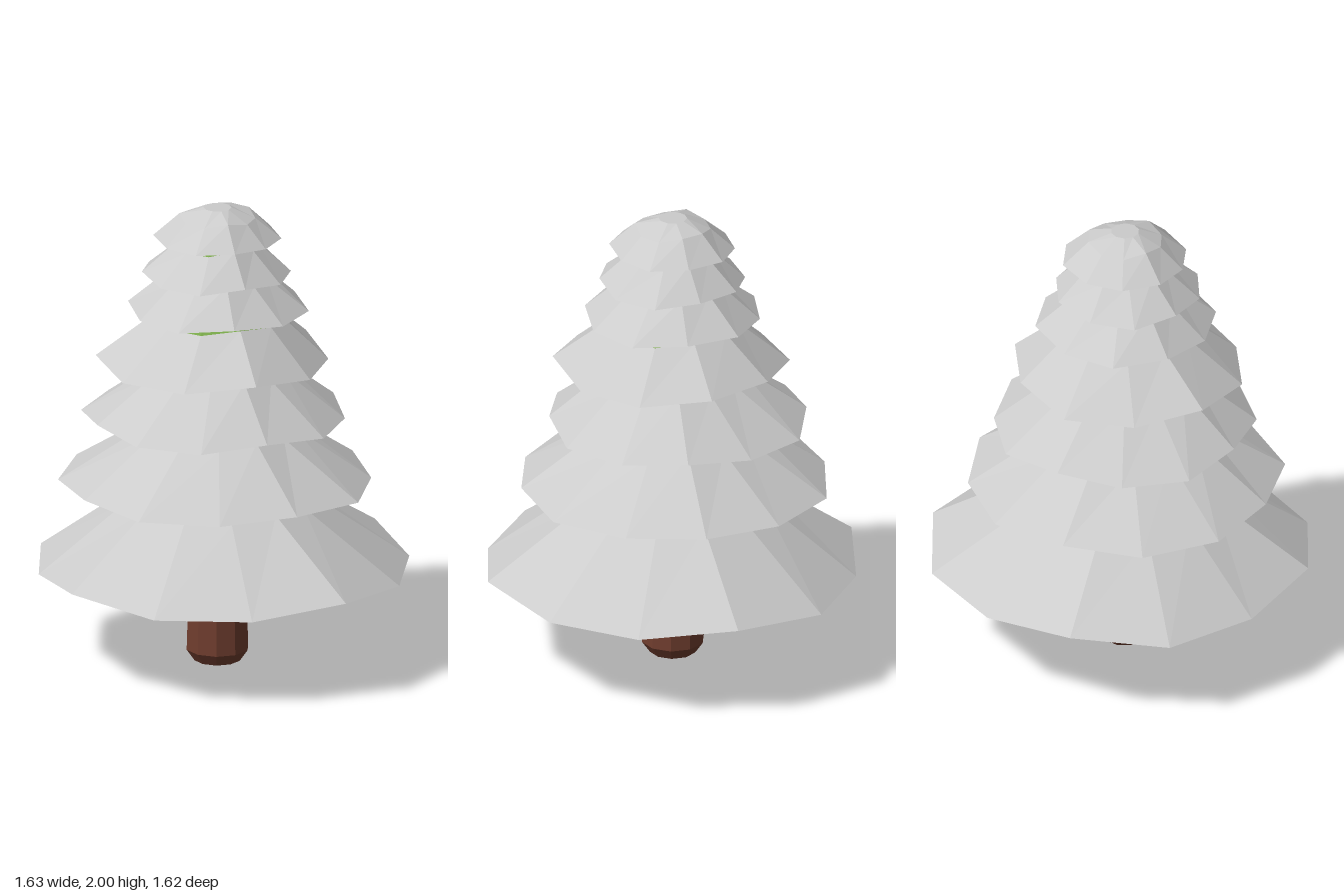
import * as THREE from 'three';

const snow = new THREE.MeshStandardMaterial({ color: 0xcccccc, flatShading: true });
const needles = new THREE.MeshStandardMaterial({ color: 0x77a648, flatShading: true });
const bark = new THREE.MeshStandardMaterial({ color: 0x6f3d2e, flatShading: true });

const AXIS_X = -0.02; // the trunk line stands slightly off centre
const AXIS_Z = -0.01;

// Ring of corners; the waves make radius and height uneven from corner to corner.
function ring(sides, phase, radius, height, { x = AXIS_X, z = AXIS_Z, waveR = 0, waveY = 0 } = {}) {
  return Array.from({ length: sides }, (_, i) => {
    const a = THREE.MathUtils.degToRad(phase + (i * 360) / sides);
    const r = radius + waveR * Math.sin(i * 2.3 + phase);
    const y = height + waveY * Math.cos(i * 2.1);
    return new THREE.Vector3(x + r * Math.cos(a), y, z + r * Math.sin(a));
  });
}

// Faceted skin through rings listed from bottom to top.
function loft(name, material, rings) {
  const points = [];
  const face = (a, b, c) => {
    if (a.distanceTo(b) > 1e-5 && b.distanceTo(c) > 1e-5 && c.distanceTo(a) > 1e-5) points.push(a, b, c);
  };
  for (let k = 0; k < rings.length - 1; k++) {
    const low = rings[k], high = rings[k + 1], n = low.length;
    for (let i = 0; i < n; i++) {
      const j = (i + 1) % n;
      face(low[i], high[i], low[j]);
      face(low[j], high[i], high[j]);
    }
  }
  const geometry = new THREE.BufferGeometry().setFromPoints(points);
  geometry.computeVertexNormals();
  const mesh = new THREE.Mesh(geometry, material);
  mesh.name = name;
  return mesh;
}

// Branch tiers: rim radius r and height y, snow shoulder and green top as [radius, height].
const tiers = [
  { n: 12, phase: -5, x: 0, z: 0, r: 0.805, y: 0.425, waveY: 0.025, shoulder: [0.39, 0.72], top: [0.24, 0.87] },
  { n: 12, phase: 3, z: -0.015, r: 0.665, y: 0.8, waveY: 0.008, shoulder: [0.32, 1.03], top: [0.2, 1.15] },
  { n: 12, phase: 10, z: -0.03, r: 0.555, y: 1.085, waveY: 0.015, shoulder: [0.28, 1.29], top: [0.19, 1.38] },
  { n: 10, phase: -5, x: -0.04, r: 0.49, y: 1.335, waveY: 0.022, shoulder: [0.27, 1.52], top: [0.18, 1.6] },
  { n: 10, phase: 5, r: 0.38, y: 1.56, waveY: 0.01, shoulder: [0.21, 1.7], top: [0.14, 1.77] },
  { n: 10, phase: -8, x: -0.03, r: 0.315, y: 1.715, waveY: 0.012, shoulder: [0.175, 1.84], top: [0.11, 1.91] },
  { n: 10, phase: 0, r: 0.265, y: 1.868, waveY: 0.006, shoulder: [0.16, 1.96] },
];

function branchTier({ n, phase, x, z, r, y, waveY, shoulder, top }, index) {
  const group = new THREE.Group();
  group.name = `branchTier${index + 1}`;
  const rim = ring(n, phase, r, y, { x, z, waveR: r * 0.025, waveY });
  const snowLine = ring(n, phase, ...shoulder, { waveY: 0.012 });

  group.add(loft('underside', needles, [ring(n, 0, 0, y), rim]));
  if (top) {
    group.add(loft('snowSkirt', snow, [rim, snowLine]));
    group.add(loft('needleCone', needles, [snowLine, ring(n, phase, ...top)]));
  } else {
    // Rounded snow cap on the tip
    group.add(loft('snowCap', snow, [rim, snowLine, ring(n, phase, 0.06, 2), ring(n, 0, 0, 2)]));
  }
  return group;
}

export function createModel() {
  const model = new THREE.Group();
  model.name = 'snowyTree';
  // Trunk with a chamfered foot
  const profile = [[0, 0], [0.1, 0], [0.135, 0.05], [0.122, 0.46]];
  model.add(loft('trunk', bark, profile.map(([r, y]) => ring(10, 18, r, y))));
  tiers.forEach((t, i) => model.add(branchTier(t, i)));
  return model;
}
